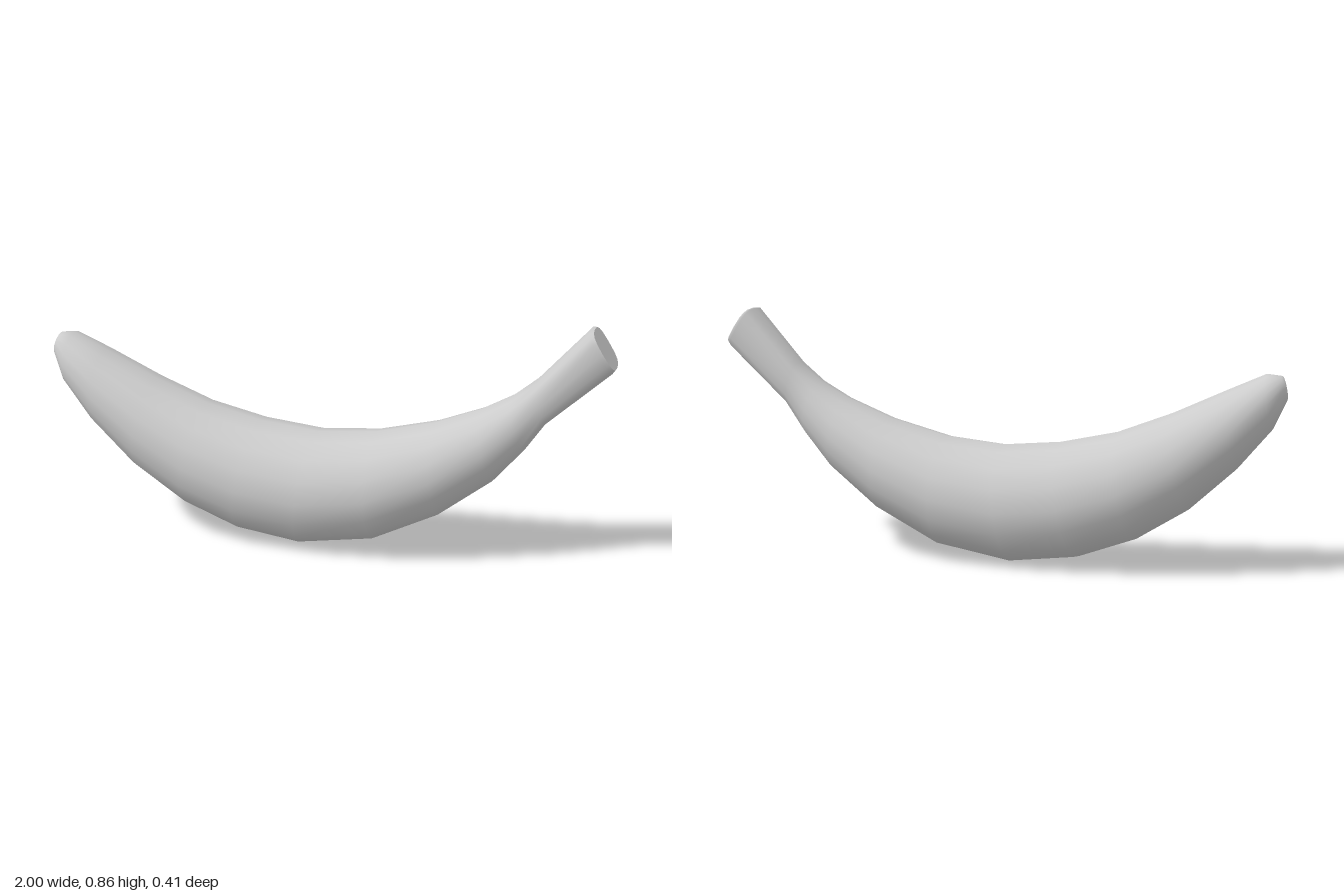
import * as THREE from 'three';

const SIDES = 16;

// Cross-sections from blossom tip to stem end:
// inner edge x, y, outer edge x, y, half width, squareness exponent (2 = round)
const SECTIONS = [
  [-0.98, 0.69, -1.0, 0.61, 0.045, 2],
  [-0.93, 0.695, -0.955, 0.51, 0.095, 2],
  [-0.81, 0.64, -0.84, 0.37, 0.138, 2],
  [-0.62, 0.55, -0.68, 0.22, 0.17, 2],
  [-0.43, 0.475, -0.5, 0.105, 0.192, 2],
  [-0.23, 0.43, -0.3, 0.03, 0.205, 2],
  [-0.02, 0.41, -0.07, 0.0, 0.206, 2],
  [0.19, 0.43, 0.2, 0.045, 0.195, 2],
  [0.4, 0.485, 0.43, 0.16, 0.165, 2],
  [0.56, 0.55, 0.61, 0.3, 0.128, 2],
  [0.66, 0.605, 0.71, 0.42, 0.1, 2.2],
  [0.74, 0.67, 0.78, 0.525, 0.08, 2.6],
  [0.908, 0.86, 0.992, 0.723, 0.081, 3],
  [0.92, 0.86, 1.0, 0.735, 0.077, 3],
];

// Points of one superelliptic ring lying between its inner and outer edge
function ring([tx, ty, bx, by, w, n]) {
  const pts = [];
  const bend = (v) => Math.sign(v) * Math.abs(v) ** (2 / n);
  for (let j = 0; j < SIDES; j++) {
    const a = (j / SIDES) * Math.PI * 2;
    const c = bend(Math.cos(a)) / 2;
    pts.push((tx + bx) / 2 + (tx - bx) * c, (ty + by) / 2 + (ty - by) * c, w * bend(Math.sin(a)));
  }
  return pts;
}

function geometryFrom(positions, index) {
  const g = new THREE.BufferGeometry();
  g.setAttribute('position', new THREE.Float32BufferAttribute(positions, 3));
  g.setIndex(index);
  g.computeVertexNormals();
  return g;
}

export function createModel() {
  const group = new THREE.Group();
  group.name = 'banana';
  const material = new THREE.MeshStandardMaterial({ color: 0xcccccc });

  // Peel: smooth loft through all sections, closed at the blossom tip
  const positions = SECTIONS.flatMap(ring);
  const index = [];
  for (let i = 0; i < SECTIONS.length - 1; i++) {
    for (let j = 0; j < SIDES; j++) {
      const k = (j + 1) % SIDES;
      const a = i * SIDES + j, b = i * SIDES + k;
      index.push(a, b, a + SIDES, b, b + SIDES, a + SIDES);
    }
  }
  const tip = positions.length / 3;
  positions.push(-0.995, 0.652, 0);
  for (let j = 0; j < SIDES; j++) index.push(tip, (j + 1) % SIDES, j);
  const peel = new THREE.Mesh(geometryFrom(positions, index), material);
  peel.name = 'peel';
  group.add(peel);

  // Flat cut at the end of the stem, with its own vertices for a crisp edge
  const last = SECTIONS[SECTIONS.length - 1];
  const capPositions = [...ring(last), (last[0] + last[2]) / 2, (last[1] + last[3]) / 2, 0];
  const capIndex = [];
  for (let j = 0; j < SIDES; j++) capIndex.push(SIDES, j, (j + 1) % SIDES);
  const cap = new THREE.Mesh(geometryFrom(capPositions, capIndex), material);
  cap.name = 'stemCut';
  group.add(cap);

  return group;
}
